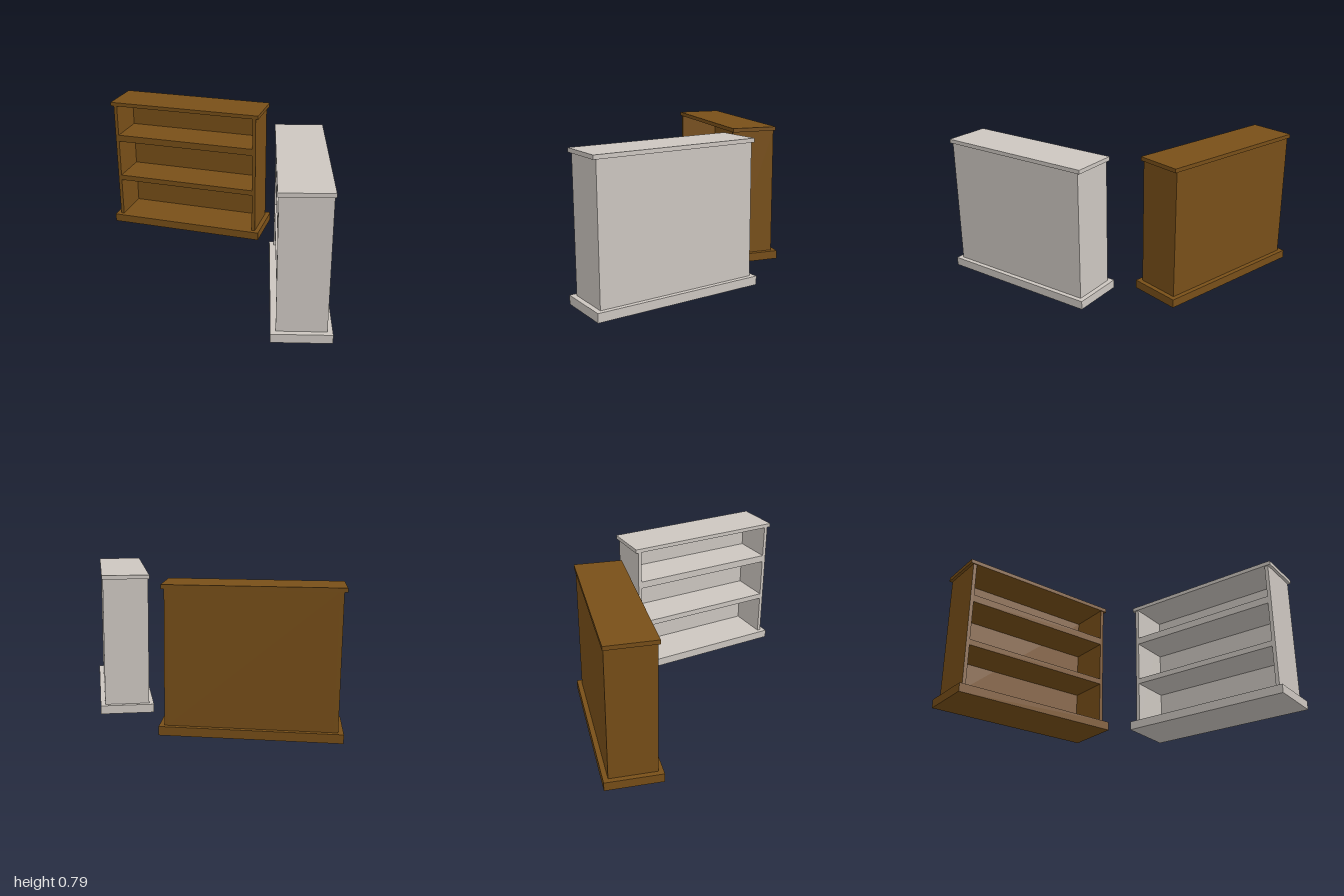
import * as THREE from 'three';

// Box spanning y0..y1, centred on x and at depth z
function slab(name, material, w, y0, y1, d, x = 0, z = 0) {
  const mesh = new THREE.Mesh(new THREE.BoxGeometry(w, y1 - y0, d), material);
  mesh.position.set(x, (y0 + y1) / 2, z);
  mesh.name = name;
  return mesh;
}

function bookcase(name, color) {
  const mat = new THREE.MeshStandardMaterial({ color });
  const group = new THREE.Group();
  group.name = name;
  const W = 0.896, D = 0.252, wall = 0.02, floor = 0.048, ceiling = 0.77;

  // plinth and overhanging top
  group.add(slab('plinth', mat, 0.95, 0, floor, 0.304));
  group.add(slab('topBoard', mat, 0.928, ceiling, 0.792, 0.264));

  // side panels
  for (const [side, s] of [['left', 1], ['right', -1]]) {
    group.add(slab(side + 'Panel', mat, wall, floor, ceiling, D, s * (W - wall) / 2));
  }

  // back panel between the sides
  const inner = W - 2 * wall;
  group.add(slab('backPanel', mat, inner, floor, ceiling, wall, 0, (wall - D) / 2));

  // shelves, flush with the front edges
  for (const [shelf, y0, y1] of [['lowerShelf', 0.283, 0.315], ['upperShelf', 0.541, 0.582]]) {
    group.add(slab(shelf, mat, inner, y0, y1, D - wall, 0, wall / 2));
  }
  return group;
}

export function createModel() {
  const model = new THREE.Group();
  model.name = 'bookcasePair';

  // two bookcases angled towards each other
  const brown = bookcase('brownBookcase', 0x784f18);
  brown.position.set(-0.53, 0, -0.019);
  brown.rotation.y = THREE.MathUtils.degToRad(36.6);

  const grey = bookcase('greyBookcase', 0xccc6c0);
  grey.position.set(0.532, 0, 0.008);
  grey.rotation.y = THREE.MathUtils.degToRad(-38.6);

  model.add(brown, grey);
  return model;
}
